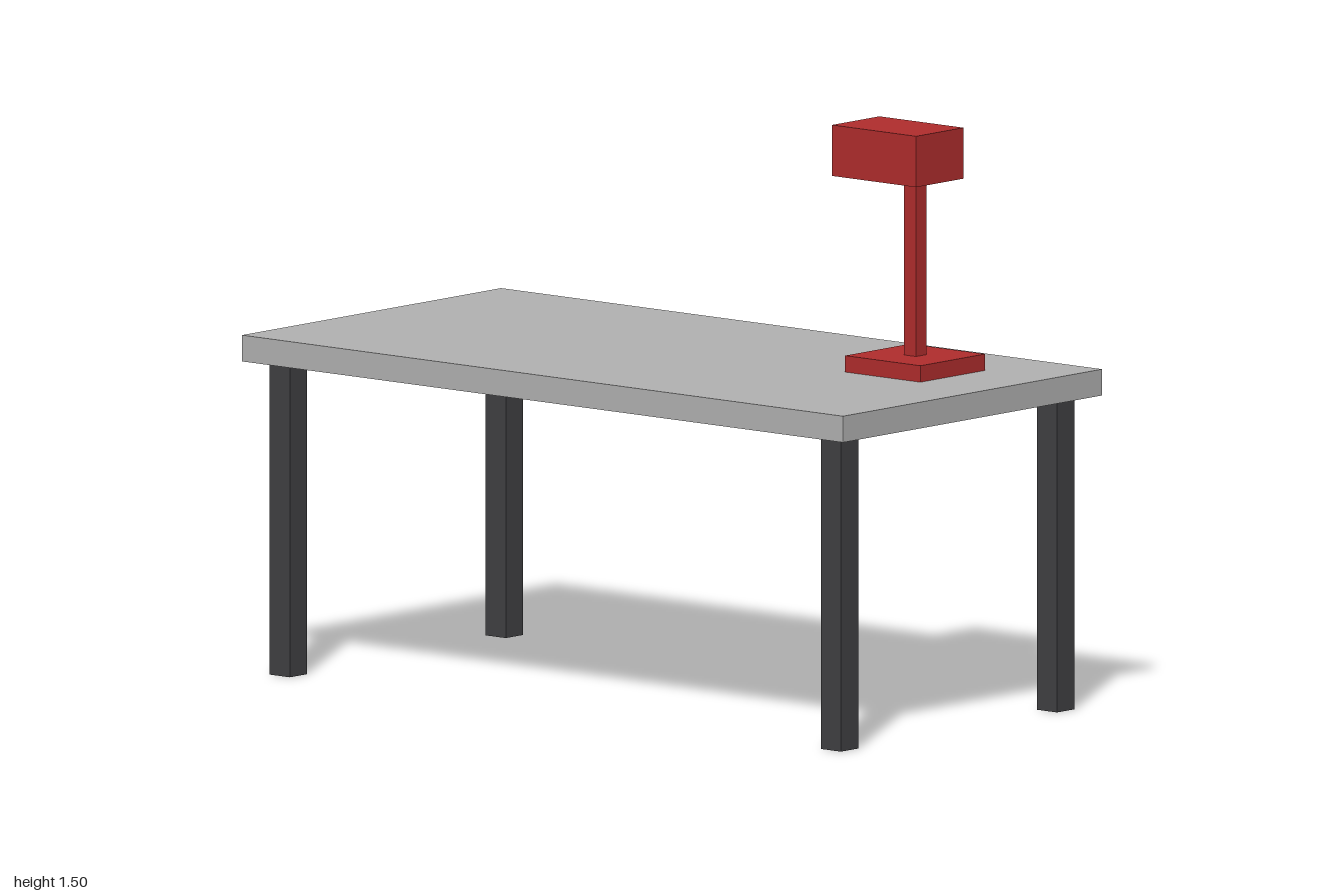
import * as THREE from 'three';

export function createModel() {
  const model = new THREE.Group();
  model.name = 'deskWithLamp';

  const material = (name, color) => {
    const m = new THREE.MeshStandardMaterial({ color });
    m.name = name;
    return m;
  };
  const grey = material('table top grey', 0xb2b2b2);
  const charcoal = material('leg charcoal', 0x404043);
  const red = material('lamp red', 0xb02d2d);

  // Box placed by its centre in x and z and by its underside in y
  const box = (parent, name, mat, [w, h, d], [x, y, z]) => {
    const mesh = new THREE.Mesh(new THREE.BoxGeometry(w, h, d), mat);
    mesh.name = name;
    mesh.position.set(x, y + h / 2, z);
    parent.add(mesh);
  };

  // Desk: slab top on four square legs
  const desk = new THREE.Group();
  desk.name = 'desk';
  box(desk, 'tableTop', grey, [2, 0.067, 1], [0, 0.8, 0]);
  for (const [side, sx] of [['Left', 1], ['Right', -1]]) {
    for (const [end, sz] of [['front', 1], ['back', -1]]) {
      box(desk, `${end}${side}Leg`, charcoal, [0.067, 0.8, 0.067], [sx * 0.917, 0, sz * 0.417]);
    }
  }

  // Lamp: base, pole and a head reaching forward
  const lamp = new THREE.Group();
  lamp.name = 'lamp';
  lamp.position.set(0.665, 0.867, -0.167);
  box(lamp, 'lampBase', red, [0.25, 0.042, 0.25], [0, 0, 0]);
  box(lamp, 'lampPole', red, [0.04, 0.461, 0.04], [0, 0.042, 0]);
  box(lamp, 'lampHead', red, [0.28, 0.13, 0.183], [0, 0.503, 0.067]);

  model.add(desk, lamp);
  return model;
}
